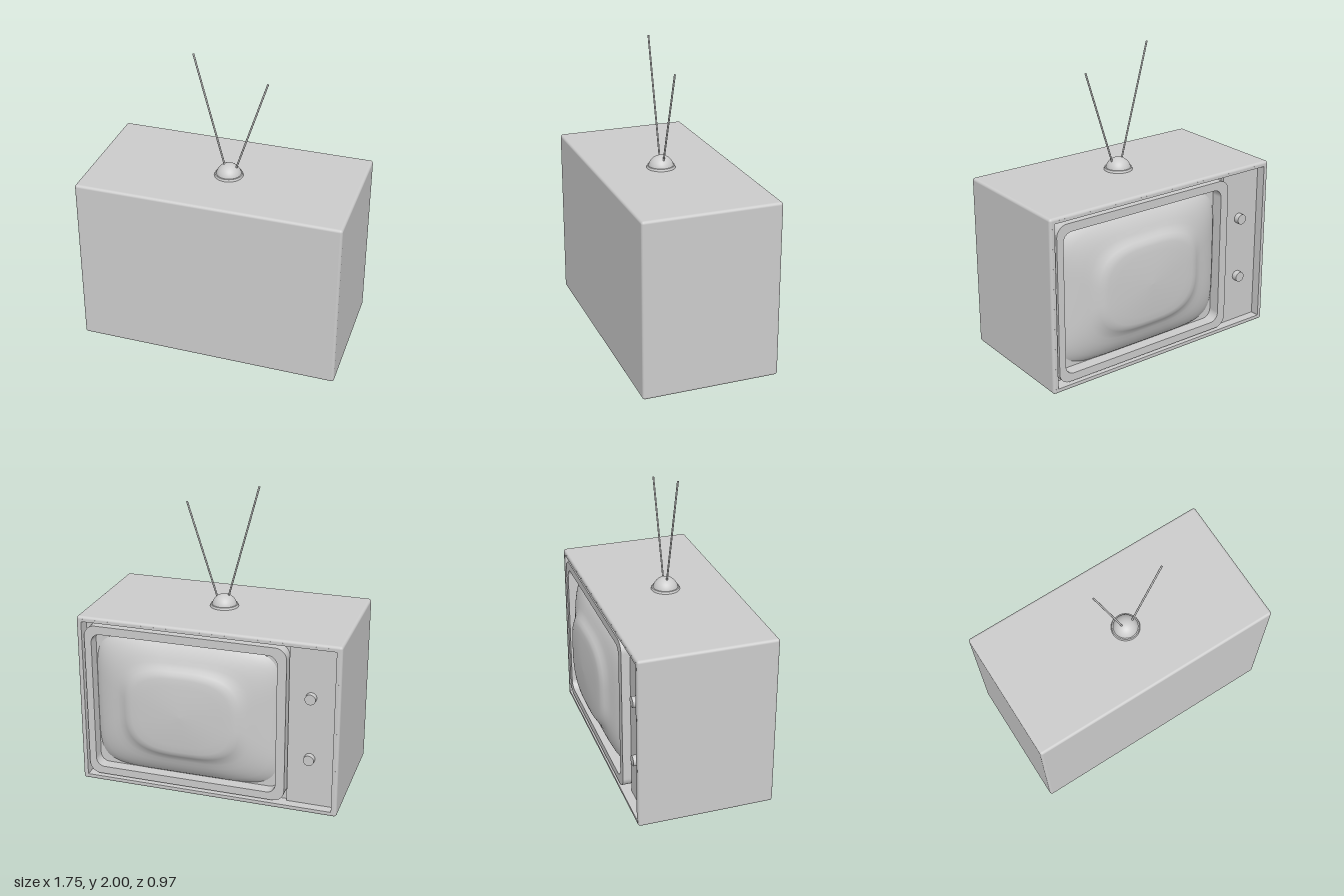
import * as THREE from 'three';
import { RoundedBoxGeometry } from 'three/addons/geometries/RoundedBoxGeometry.js';

const grey = new THREE.MeshStandardMaterial({ color: 0xcccccc });
grey.name = 'plain grey';

const FACE_Z = -0.42; // the screen side of the cabinet
const FLOOR_Z = -0.335; // bottom of the recess behind the screen

function add(group, name, geometry, x = 0, y = 0, z = 0) {
  const mesh = new THREE.Mesh(geometry, grey);
  mesh.name = name;
  mesh.position.set(x, y, z);
  group.add(mesh);
  return mesh;
}

// Rounded rectangle between two corners
function roundedRect(path, x0, y0, x1, y1, r) {
  path.moveTo(x0 + r, y0);
  path.lineTo(x1 - r, y0);
  path.absarc(x1 - r, y0 + r, r, -Math.PI / 2, 0);
  path.lineTo(x1, y1 - r);
  path.absarc(x1 - r, y1 - r, r, 0, Math.PI / 2);
  path.lineTo(x0 + r, y1);
  path.absarc(x0 + r, y1 - r, r, Math.PI / 2, Math.PI);
  path.lineTo(x0, y0 + r);
  path.absarc(x0 + r, y0 + r, r, Math.PI, Math.PI * 1.5);
  return path;
}

// Extruded frame: outer and inner are [x0, y0, x1, y1, radius]
function frame(outer, inner, depth) {
  const shape = roundedRect(new THREE.Shape(), ...outer);
  shape.holes.push(roundedRect(new THREE.Path(), ...inner));
  return new THREE.ExtrudeGeometry(shape, { depth, bevelEnabled: false, curveSegments: 8 });
}

// Rounded box without the flat middle of its -z face
function openBox(w, h, d, r) {
  const box = new RoundedBoxGeometry(w, h, d, 3, r);
  const pos = box.attributes.position, nor = box.attributes.normal;
  const p = [], n = [];
  for (let i = 0; i < pos.count; i += 3) {
    if ([0, 1, 2].every(k => pos.getZ(i + k) < -d / 2 + 1e-4)) continue;
    for (let k = i; k < i + 3; k++) {
      p.push(pos.getX(k), pos.getY(k), pos.getZ(k));
      n.push(nor.getX(k), nor.getY(k), nor.getZ(k));
    }
  }
  const geo = new THREE.BufferGeometry();
  geo.setAttribute('position', new THREE.Float32BufferAttribute(p, 3));
  geo.setAttribute('normal', new THREE.Float32BufferAttribute(n, 3));
  return geo;
}

// Bulging glass from superellipse rings: [scale, z, squareness]
function screenGlass(halfW, halfH) {
  const rings = [
    [1, -0.34, 6], [0.97, -0.358, 5.5], [0.92, -0.378, 5], [0.85, -0.397, 4.5],
    [0.78, -0.412, 4], [0.72, -0.422, 3.6], [0.67, -0.434, 3.3], [0.63, -0.450, 3.1],
    [0.59, -0.464, 3], [0.54, -0.471, 2.9], [0.45, -0.476, 2.7], [0.3, -0.482, 2.5],
    [0.15, -0.486, 2.2], [0.001, -0.488, 2],
  ];
  const N = 72, p = [], index = [];
  const power = (v, n) => Math.sign(v) * Math.abs(v) ** (2 / n);
  rings.forEach(([t, z, n], i) => {
    for (let j = 0; j < N; j++) {
      const a = (j / N) * Math.PI * 2;
      p.push(halfW * t * power(Math.cos(a), n), halfH * t * power(Math.sin(a), n), z);
      if (i === 0) continue;
      const k = (j + 1) % N;
      const o0 = (i - 1) * N + j, o1 = (i - 1) * N + k, i0 = i * N + j, i1 = i * N + k;
      index.push(i0, o1, o0, i0, i1, o1);
    }
  });
  const geo = new THREE.BufferGeometry();
  geo.setAttribute('position', new THREE.Float32BufferAttribute(p, 3));
  geo.setIndex(index);
  geo.computeVertexNormals();
  return geo;
}

// Thin rod between two points
function rod(from, to, radius) {
  const a = new THREE.Vector3(...from), b = new THREE.Vector3(...to);
  return new THREE.TubeGeometry(new THREE.LineCurve3(a, b), 1, radius, 10, false);
}

export function createModel() {
  const model = new THREE.Group();
  model.name = 'television';

  // Cabinet shell, rim and recess floor
  add(model, 'cabinet', openBox(1.75, 1.175, 0.905, 0.018), -0.003, 0.5875, 0.0325);
  add(model, 'cabinetRim',
    frame([-0.861, 0.017, 0.855, 1.158, 0.002], [-0.842, 0.033, 0.838, 1.14, 0.004], 0.085), 0, 0, FACE_Z);
  add(model, 'recessFloor', new THREE.BoxGeometry(1.7, 1.13, 0.02), -0.003, 0.5875, FLOOR_Z + 0.01);

  // Screen with its surround
  add(model, 'screenFrame',
    frame([-0.53, 0.052, 0.822, 1.118, 0.075], [-0.47, 0.105, 0.775, 1.062, 0.06], 0.08), 0, 0, -0.415);
  add(model, 'screen', screenGlass(0.622, 0.478), 0.15, 0.584, 0);

  // Control panel with two knobs
  add(model, 'controlPanel', new THREE.BoxGeometry(0.306, 1.105, 0.025), -0.688, 0.5865, -0.3475);
  for (const y of [0.365, 0.79]) {
    add(model, 'knob', new THREE.CylinderGeometry(0.035, 0.035, 0.04, 24), -0.68, y, -0.378)
      .rotation.x = Math.PI / 2;
  }

  // Antenna: domed foot and two rods
  const antenna = new THREE.Group();
  antenna.name = 'antenna';
  antenna.position.set(0.02, 0, 0.055);
  model.add(antenna);
  add(antenna, 'antennaBase', new THREE.CylinderGeometry(0.09, 0.095, 0.016, 40), 0, 1.182, 0);
  add(antenna, 'antennaDome',
    new THREE.SphereGeometry(0.084, 40, 14, 0, Math.PI * 2, 0, Math.PI / 2), 0, 1.172, 0);
  add(antenna, 'longRod', rod([-0.025, 1.23, 0], [-0.231, 1.999, 0], 0.006));
  add(antenna, 'shortRod', rod([0.045, 1.22, 0], [0.253, 1.862, 0], 0.006));

  return model;
}
